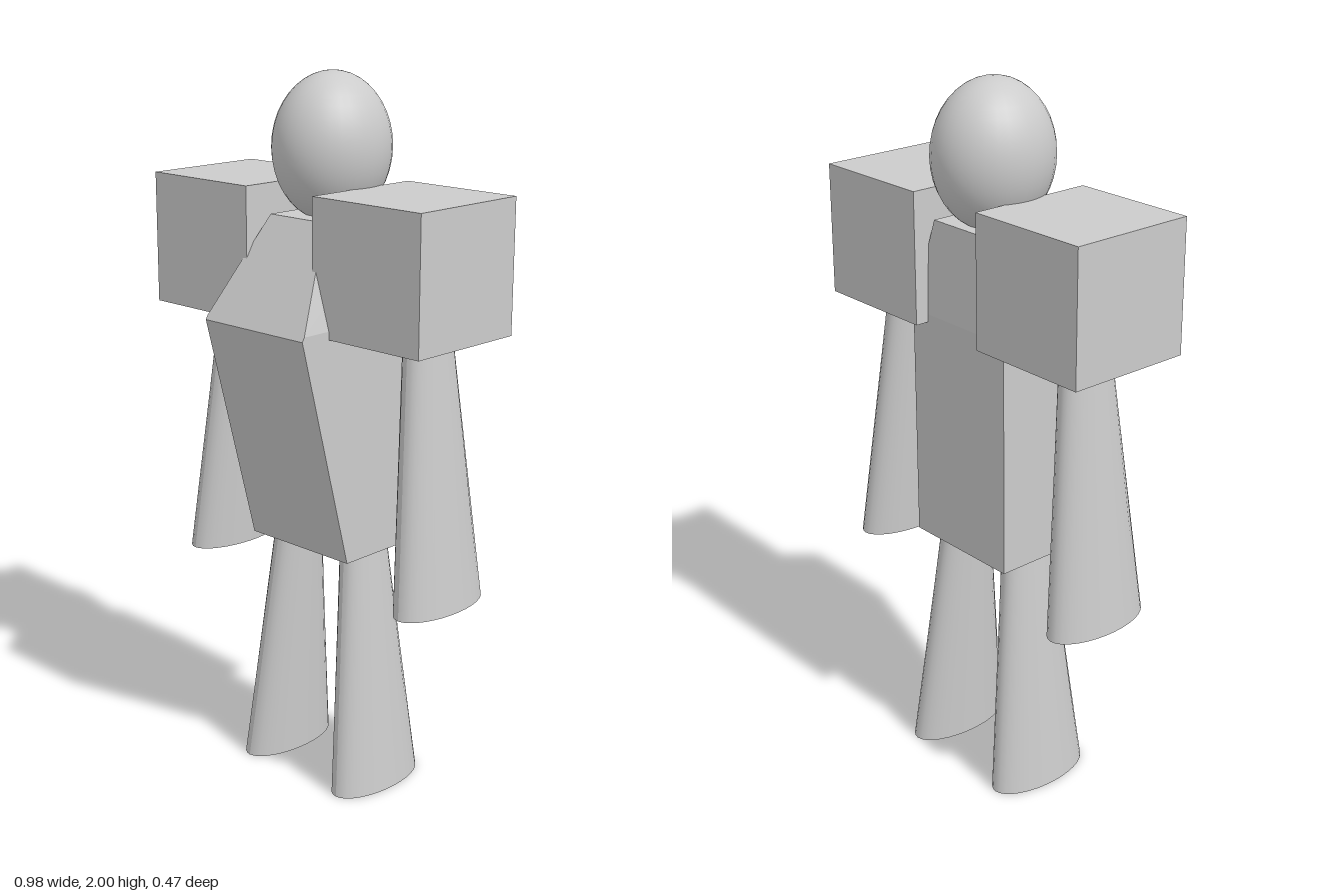
import * as THREE from 'three';

const mat = () => new THREE.MeshStandardMaterial({ color: 0xcccccc });
const flatMat = () => new THREE.MeshStandardMaterial({ color: 0xcccccc, flatShading: true });

function add(parent, name, geometry, material) {
  const mesh = new THREE.Mesh(geometry, material);
  mesh.name = name;
  parent.add(mesh);
  return mesh;
}

// Tapered oval limb; each end is [x, y, radiusX, radiusZ], sheared so both ends stay level
function limb(top, bottom, z) {
  const geo = new THREE.CylinderGeometry(1, 1, 1, 32);
  const p = geo.attributes.position;
  for (let i = 0; i < p.count; i++) {
    const [x, y, rx, rz] = p.getY(i) > 0 ? top : bottom;
    p.setXYZ(i, x + p.getX(i) * rx, y, z + p.getZ(i) * rz);
  }
  geo.computeVertexNormals();
  return geo;
}

// Closed solid through rectangular sections [y, halfWidth, backZ, frontZ], bottom to top
function loft(sections) {
  const pos = [];
  const index = [];
  for (const [y, w, back, front] of sections) {
    pos.push(-w, y, front, w, y, front, w, y, back, -w, y, back);
  }
  for (let s = 0; s < sections.length - 1; s++) {
    for (let k = 0; k < 4; k++) {
      const a = s * 4 + k;
      const b = s * 4 + (k + 1) % 4;
      index.push(a, b, b + 4, a, b + 4, a + 4);
    }
  }
  const t = (sections.length - 1) * 4;
  index.push(0, 2, 1, 0, 3, 2, t, t + 1, t + 2, t, t + 2, t + 3);
  const geo = new THREE.BufferGeometry();
  geo.setAttribute('position', new THREE.Float32BufferAttribute(pos, 3));
  geo.setIndex(index);
  const flat = geo.toNonIndexed();
  flat.computeVertexNormals();
  return flat;
}

export function createModel() {
  const model = new THREE.Group();
  model.name = 'figure';

  // Egg-shaped head
  const head = add(model, 'head', new THREE.SphereGeometry(1, 32, 20), mat());
  head.scale.set(0.154, 0.2, 0.17);
  head.position.set(-0.003, 1.8, -0.065);

  // Torso flares forward to the chest, then slopes in to the neck
  add(model, 'torso', loft([
    [0.7, 0.183, -0.19, 0.065],
    [1.35, 0.183, -0.19, 0.235],
    [1.362, 0.183, -0.19, 0.228],
    [1.625, 0.1, -0.18, 0.07],
  ]), flatMat());

  for (const [side, s] of [['left', 1], ['right', -1]]) {
    // Block shoulder
    const shoulder = add(model, side + 'Shoulder', new THREE.BoxGeometry(0.367, 0.365, 0.367), flatMat());
    shoulder.position.set(s * 0.306, 1.522, -0.045);

    // Arm and leg, both widening downwards
    const armEnd = s > 0 ? 0.608 : 0.6;
    add(model, side + 'Arm',
      limb([s * 0.347, 1.36, 0.051, 0.078], [s * 0.402, armEnd, 0.076, 0.16], -0.06), mat());
    add(model, side + 'Leg',
      limb([s * 0.127, 0.72, 0.051, 0.078], [s * 0.178, 0, 0.075, 0.16], -0.06), mat());
  }
  return model;
}
